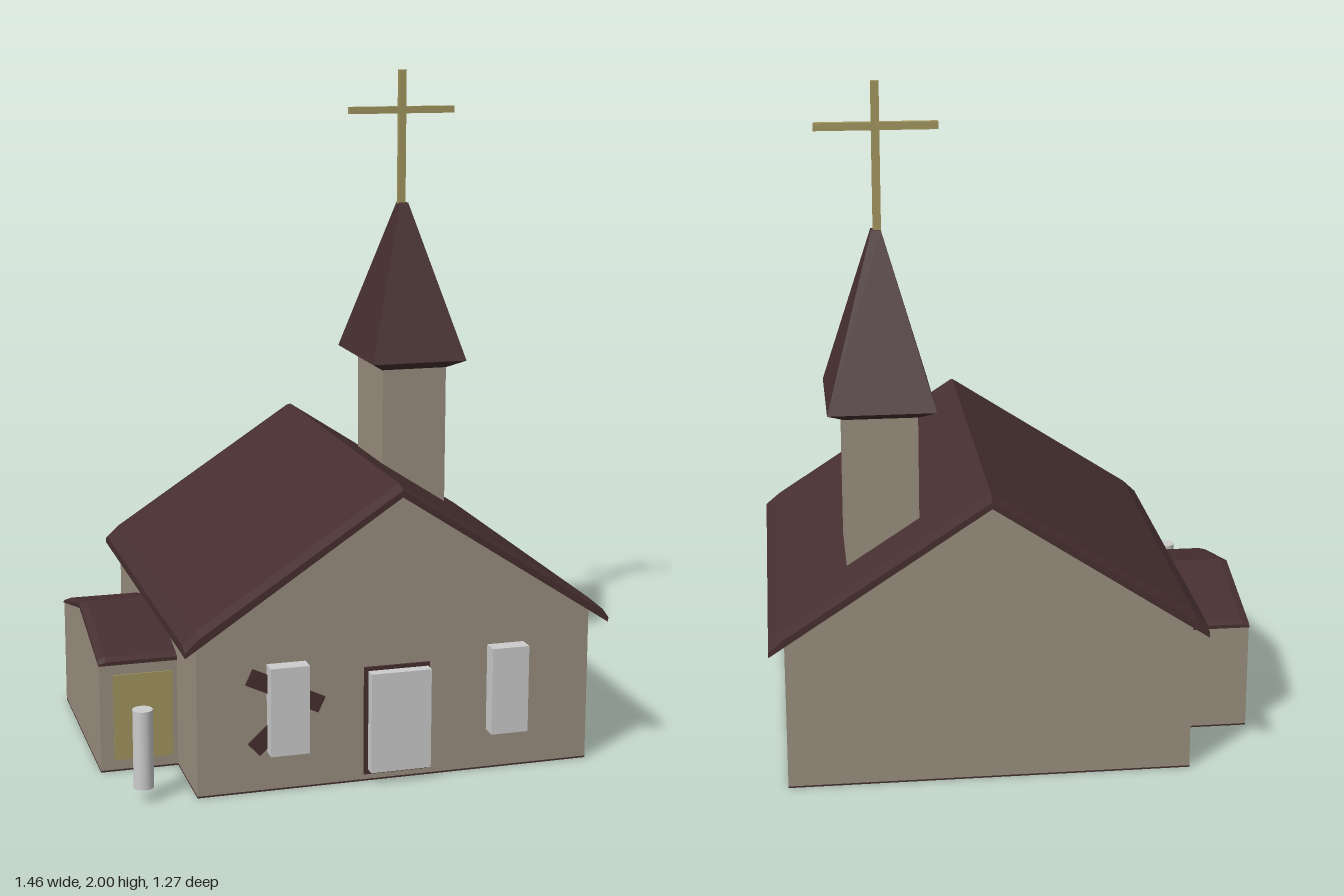
import * as THREE from 'three';

const mat = (name, color, extra = {}) => {
  const m = new THREE.MeshStandardMaterial({ color, ...extra });
  m.name = name;
  return m;
};

// Closed roof slab lofted through sections [z, drop]; profile runs clockwise
// from the left eave and its last point is the underside of the ridge.
function loft(profile, sections) {
  const n = profile.length, pos = [], idx = [];
  for (const [z, drop] of sections)
    profile.forEach(([x, y, top]) => pos.push(x, y - (top ? drop : 0), z));
  for (let k = 0; k < sections.length - 1; k++)
    for (let i = 0; i < n; i++) {
      const j = (i + 1) % n, a = k * n + i, b = k * n + j;
      idx.push(a, a + n, b + n, a, b + n, b);
    }
  const last = (sections.length - 1) * n;
  for (let i = 0; i < n - 2; i++) {
    idx.push(n - 1, i, i + 1);
    idx.push(last + n - 1, last + i + 1, last + i);
  }
  const g = new THREE.BufferGeometry();
  g.setAttribute('position', new THREE.Float32BufferAttribute(pos, 3));
  g.setIndex(idx);
  const flat = g.toNonIndexed();
  flat.computeVertexNormals();
  return flat;
}

// Gabled wall block, ridge along z
function gable(x0, x1, eave, peak, z0, z1) {
  const s = new THREE.Shape();
  s.moveTo(x0, 0.005);
  s.lineTo(x1, 0.005);
  s.lineTo(x1, eave);
  s.lineTo((x0 + x1) / 2, peak);
  s.lineTo(x0, eave);
  s.closePath();
  return new THREE.ExtrudeGeometry(s, { depth: z1 - z0, bevelEnabled: false }).translate(0, 0, z0);
}

export function createModel() {
  const root = new THREE.Group();
  root.name = 'chapel';
  const wall = mat('wall stone', 0x9a8f7f);
  const roof = mat('roof brown', 0x472f30, { flatShading: true });
  const grey = mat('pale grey', 0xcccccc);
  const gold = mat('dull gold', 0xa3965f);

  const add = (name, geo, m) => {
    const mesh = new THREE.Mesh(geo, m);
    mesh.name = name;
    root.add(mesh);
    return mesh;
  };
  // Box given by its extents
  const box = (name, m, x0, x1, y0, y1, z0, z1) => add(name,
    new THREE.BoxGeometry(x1 - x0, y1 - y0, z1 - z0)
      .translate((x0 + x1) / 2, (y0 + y1) / 2, (z0 + z1) / 2), m);

  // Main hall
  add('hallWalls', gable(-0.5, 0.68, 0.457, 0.846, -0.59, 0.59), wall);
  box('hallFloor', roof, -0.5, 0.68, 0, 0.005, -0.59, 0.59);
  add('hallRoof', loft([
    [-0.54, 0.43], [-0.54, 0.457, 1], [-0.5, 0.495, 1], [0.09, 0.88, 1],
    [0.68, 0.495, 1], [0.725, 0.457, 1], [0.725, 0.43], [0.09, 0.848],
  ], [[-0.636, 0.012], [-0.59, 0], [0.59, 0], [0.632, 0.012]]), roof);

  // Side annex, ridge along x
  add('annexWalls', gable(-0.325, 0.33, 0.327, 0.405, -0.73, -0.5).rotateY(Math.PI / 2), wall);
  box('annexFloor', roof, -0.73, -0.5, 0, 0.005, -0.33, 0.325);
  add('annexRoof', loft([
    [-0.326, 0.325], [-0.326, 0.336, 1], [-0.306, 0.345, 1], [0.0025, 0.424, 1],
    [0.311, 0.345, 1], [0.331, 0.336, 1], [0.331, 0.325], [0.0025, 0.404],
  ], [[-0.732, 0.006], [-0.71, 0], [-0.49, 0]]).rotateY(Math.PI / 2), roof);
  box('annexDoor', gold, -0.69, -0.515, 0.035, 0.295, 0.322, 0.329);

  // Front door and windows
  box('doorFrame', roof, -0.01, 0.187, 0.022, 0.345, 0.585, 0.597);
  box('frontDoor', grey, 0.002, 0.182, 0.037, 0.334, 0.59, 0.63);
  box('windowRight', grey, -0.297, -0.183, 0.12, 0.38, 0.585, 0.638);
  box('windowLeft', grey, 0.365, 0.477, 0.12, 0.38, 0.585, 0.638);

  // Crossed boards behind one window
  for (const [x, y, len, angle] of [[-0.243, 0.297, 0.235, -0.44], [-0.285, 0.177, 0.14, 0.75]]) {
    const board = add('board', new THREE.BoxGeometry(len, 0.05, 0.012), roof);
    board.position.set(x, y, 0.592);
    board.rotation.z = angle;
  }

  // Post beside the annex
  add('post', new THREE.CylinderGeometry(0.029, 0.029, 0.23, 24).translate(-0.648, 0.155, 0.56), grey);

  // Tower, spire with sloped underside, and cross
  box('tower', wall, 0.28, 0.492, 0.5, 1.063, -0.43, -0.16);
  const square = (top, bottom, y0, y1) =>
    new THREE.CylinderGeometry(top * Math.SQRT1_2, bottom * Math.SQRT1_2, y1 - y0, 4)
      .rotateY(Math.PI / 4).scale(0.31, 1, 0.395).translate(0.385, (y0 + y1) / 2, -0.297);
  add('spire', square(0.09, 1, 1.09, 1.58), roof);
  add('spireUnderside', square(1, 0.685, 1.06, 1.09), roof);
  box('crossUpright', gold, 0.37, 0.393, 1.56, 2, -0.308, -0.289);
  box('crossArm', gold, 0.205, 0.555, 1.863, 1.885, -0.309, -0.288);

  return root;
}
